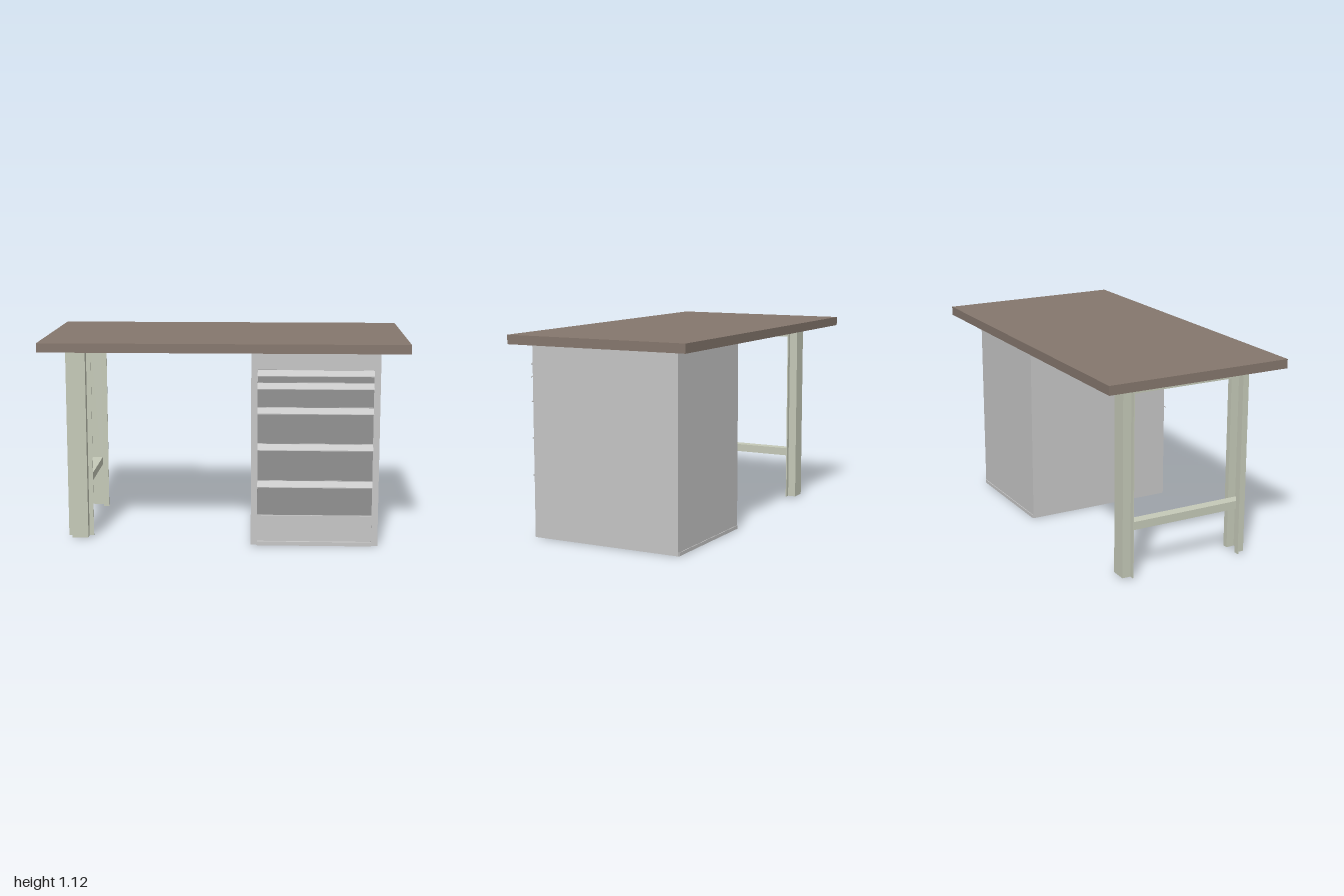
import * as THREE from 'three';

export function createModel() {
  const root = new THREE.Group();
  root.name = 'workbench';
  const mat = (name, color) => {
    const m = new THREE.MeshStandardMaterial({ color });
    m.name = name;
    return m;
  };
  const brown = mat('brown top', 0x85776d);
  const grey = mat('light grey', 0xc6c6c6);
  const dark = mat('drawer grey', 0x919191);
  const green = mat('pale green', 0xc5c9b8);

  const add = (parent, name, geo, material) => {
    const mesh = new THREE.Mesh(geo, material);
    mesh.name = name;
    parent.add(mesh);
    return mesh;
  };
  // Box given by its limits
  const box = (parent, name, material, x0, x1, y0, y1, z0, z1) => {
    const geo = new THREE.BoxGeometry(x1 - x0, y1 - y0, z1 - z0);
    geo.translate((x0 + x1) / 2, (y0 + y1) / 2, (z0 + z1) / 2);
    return add(parent, name, geo, material);
  };
  const shapeOf = (pts) => new THREE.Shape(pts.map(([a, b]) => new THREE.Vector2(a, b)));
  const extrude = (pts, depth) =>
    new THREE.ExtrudeGeometry(shapeOf(pts), { depth, bevelEnabled: false });

  // Tabletop
  box(root, 'tabletop', brown, -1, 1, 1.07, 1.12, -0.53, 0.53);

  // Cabinet carcass with a shallow front frame around the drawers
  const cabinet = new THREE.Group();
  cabinet.name = 'cabinet';
  root.add(cabinet);
  const L = 0.15, R = 0.845, inL = 0.185, inR = 0.81;
  const back = -0.405, front = 0.48, face = 0.465;
  box(cabinet, 'carcass', grey, L, R, 0.003, 1.069, back, face);
  box(cabinet, 'rightStile', grey, L, inL, 0.003, 1.069, face, front);
  box(cabinet, 'leftStile', grey, inR, R, 0.003, 1.069, face, front);
  box(cabinet, 'topRail', grey, inL, inR, 0.978, 1.069, face, front);
  box(cabinet, 'plinthPanel', grey, inL, inR, 0.03, 0.17, face, front - 0.004);
  box(cabinet, 'bottomRail', grey, inL, inR, 0, 0.022, face, front);
  box(cabinet, 'backBottomLip', grey, L + 0.005, R - 0.005, 0.003, 0.022, back - 0.004, back);
  box(cabinet, 'backTopLip', grey, L + 0.005, R - 0.005, 1.06, 1.069, back - 0.004, back);

  // Drawers, each with a sloping wedge handle along its top edge
  const tops = [0.975, 0.905, 0.77, 0.57, 0.365, 0.17];
  for (let i = 0; i < 5; i++) {
    box(cabinet, 'drawer', dark, inL, inR, tops[i + 1] + 0.003, tops[i], face, front - 0.006);
    const t = tops[i];
    const geo = extrude([[0.472, t], [0.472, t - 0.016], [0.48, t - 0.016],
      [0.515, t - 0.03], [0.515, t - 0.026], [0.48, t]], inR - inL);
    geo.rotateY(-Math.PI / 2).translate(inR, 0, 0);
    add(cabinet, 'handle', geo, grey);
  }

  // Leg frame: two hat-section posts with their open sides facing each other
  const frame = new THREE.Group();
  frame.name = 'legFrame';
  root.add(frame);
  const w = 0.045, lip = 0.07, d = 0.053, t = 0.006;
  const hat = [[-w, 0], [-w, d - t], [-lip, d - t], [-lip, d], [-w + t, d], [-w + t, t],
    [w - t, t], [w - t, d], [lip, d], [lip, d - t], [w, d - t], [w, 0]].reverse();
  const post = extrude(hat, 1.06).rotateX(-Math.PI / 2);
  const cx = -0.805, zf = 0.395, zb = -0.367;
  add(frame, 'frontLeg', post, green).position.set(cx, 0.01, zf);
  const backLeg = add(frame, 'backLeg', post, green);
  backLeg.position.set(cx, 0.01, zb);
  backLeg.rotation.y = Math.PI;

  // Crossbars: channels open underneath
  for (const y of [0.262, 1.005]) {
    const bar = new THREE.Group();
    bar.name = 'crossbar';
    frame.add(bar);
    const z0 = zb + t, z1 = zf - t, b = 0.03, h = 0.045;
    box(bar, 'barTop', green, cx - b, cx + b, y + h - t, y + h, z0, z1);
    box(bar, 'barSide', green, cx - b, cx - b + t, y, y + h - t, z0, z1);
    box(bar, 'barSide', green, cx + b - t, cx + b, y, y + h - t, z0, z1);
  }
  return root;
}
